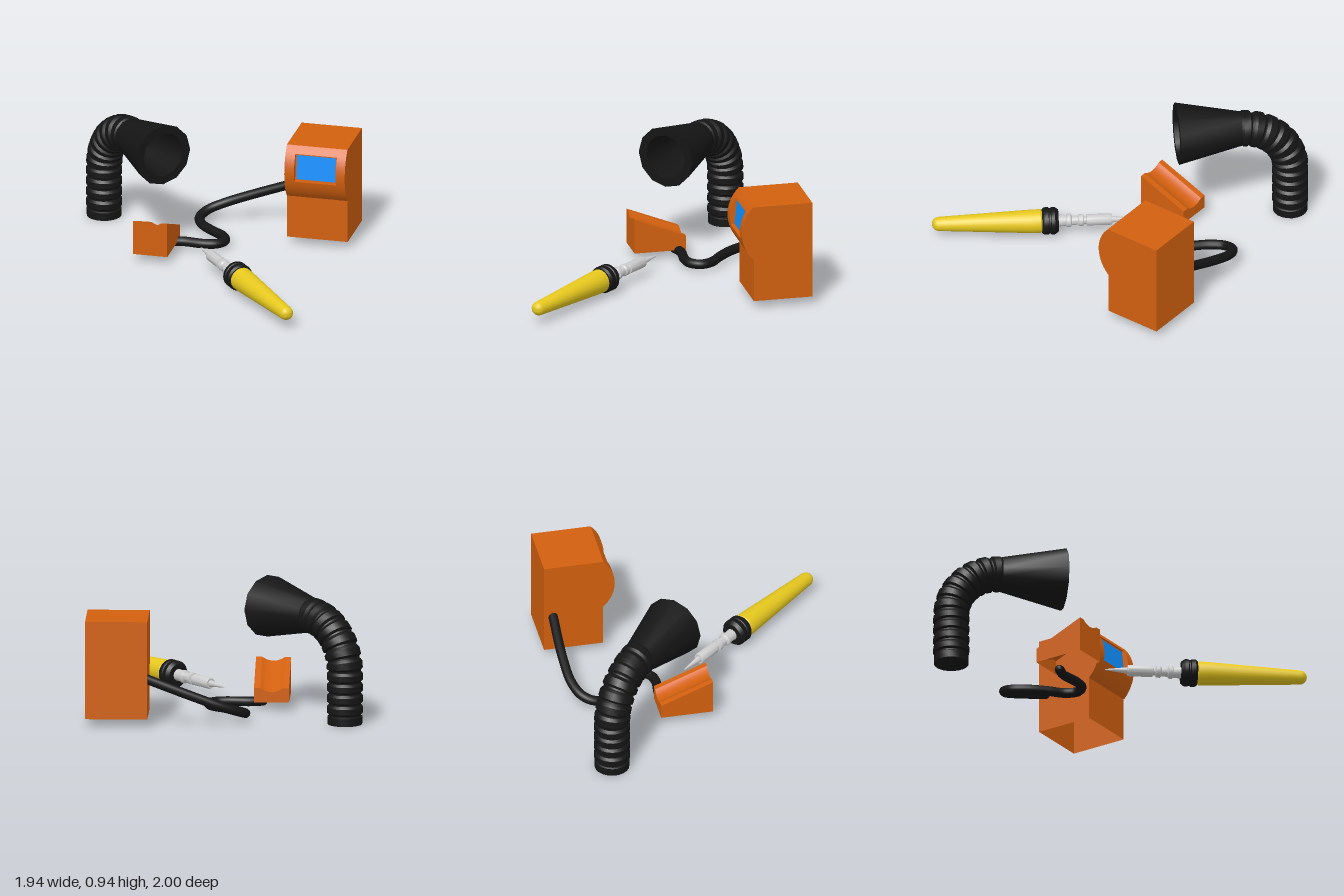
import * as THREE from 'three';
import { mergeGeometries, toCreasedNormals } from 'three/addons/utils/BufferGeometryUtils.js';

const paint = (color) => new THREE.MeshStandardMaterial({ color, side: THREE.DoubleSide });
const orange = paint(0xd2600f), black = paint(0x151515), yellow = paint(0xe6c81e);
const blue = paint(0x1090ff), metal = paint(0xcccccc);

function part(name, geometry, material, crease = 0.5) {
  const mesh = new THREE.Mesh(toCreasedNormals(geometry, crease), material);
  mesh.name = name;
  return mesh;
}

// Strip of quads between two rows of [x, y, z] points
function loft(a, b) {
  const pos = [];
  for (let i = 0; i < a.length - 1; i++) {
    pos.push(...a[i], ...b[i], ...a[i + 1], ...a[i + 1], ...b[i], ...b[i + 1]);
  }
  const g = new THREE.BufferGeometry();
  g.setAttribute('position', new THREE.Float32BufferAttribute(pos, 3));
  g.computeVertexNormals();
  return g;
}

// Lathe from [radius, distance along axis] pairs
const turned = (profile, sides) =>
  new THREE.LatheGeometry(profile.map(([r, s]) => new THREE.Vector2(r, s)), sides);

// Control unit: open-bottomed shell with a bulging front and a recessed display
function controlUnit() {
  const group = new THREE.Group();
  group.name = 'controlUnit';
  const [x0, x1, x2, x3] = [0.53, 0.6, 0.9, 0.965];
  const bulge = (y) => -0.765 + Math.sqrt(0.0729 - (y - 0.5575) ** 2);
  const recess = (y) => -0.53 - (y - 0.505) * 0.105;
  const span = (from, to, n) =>
    Array.from({ length: n + 1 }, (_, i) => from + ((to - from) * i) / n).map((y) => [y, bulge(y)]);
  const low = span(0.365, 0.505, 6), mid = span(0.505, 0.7, 8), high = span(0.7, 0.75, 3);
  const sunk = mid.map(([y]) => [y, recess(y)]);
  const wrap = (middle) => [[0.055, -0.58], [0.365, -0.58], ...low, ...middle, ...high,
    [0.75, -1], [0.055, -1]];
  const at = (rows, x) => rows.map(([y, z]) => [x, y, z]);
  const skin = (rows, a, b) => loft(at(rows, a), at(rows, b));
  const cap = (x) => loft(at(wrap(mid), x), at(wrap(mid).map(([y]) => [y, -1]), x));
  group.add(part('housing', mergeGeometries([
    skin(wrap(mid), x0, x1), skin(wrap(sunk), x1, x2), skin(wrap(mid), x2, x3),
    cap(x0), cap(x3),
    ...[x1, x2].map((x) => loft(at(mid, x), at(sunk, x))),
  ]), orange));
  const screen = [0.515, 0.69].map((y) => [y, recess(y) + 0.005]);
  group.add(part('display', skin(screen, 0.61, 0.89), blue));
  return group;
}

// Rest block: sloping, scooped top and open bottom
function restBlock() {
  const outline = [[-0.435, 0.055], [-0.435, 0.305]];
  for (let i = 0; i <= 12; i++) {
    const t = i / 6 - 1;
    outline.push([-0.3125 + t * 0.08, 0.305 - 0.027 * (1 - t * t)]);
  }
  outline.push([-0.19, 0.305], [-0.19, 0.055]);
  const row = (z, drop) => outline.map(([x, y]) => [x, Math.max(0.055, y - drop), z]);
  const front = row(0, 0), back = row(-0.37, 0.148);
  return part('restBlock', mergeGeometries([
    loft(front, back), loft(front, row(0, 1)), loft(back, row(-0.37, 1)),
  ]), orange);
}

// Fume extractor: ribbed hose rising, then bending level into a flared hood
function fumeExtractor() {
  const group = new THREE.Group();
  group.name = 'fumeExtractor';
  const rise = 0.37, R = 0.35, length = rise + (R * Math.PI) / 2;
  const profile = [[0, 0], [0.122, 0], [0.122, 0.055]];
  const ribs = 11, pitch = (length - 0.055) / ribs;
  for (let i = 0; i < ribs; i++) {
    const s = 0.055 + i * pitch;
    profile.push([0.112, s + pitch * 0.08], [0.112, s + pitch * 0.2], [0.127, s + pitch * 0.35],
      [0.127, s + pitch * 0.85], [0.118, s + pitch]);
  }
  const hose = turned(profile, 20);
  const p = hose.attributes.position;
  for (let i = 0; i < p.count; i++) {
    const a = Math.max(0, p.getY(i) - rise) / R;
    if (a > 0) {
      const r = R - p.getZ(i);
      p.setXYZ(i, p.getX(i), rise + r * Math.sin(a), R - r * Math.cos(a));
    }
  }
  group.add(part('hose', hose, black));
  const hood = turned([[0.122, 0], [0.22, 0.45], [0.16, 0.45], [0.115, 0.02], [0, 0.02]], 12);
  hood.rotateX(Math.PI / 2).translate(0, rise + R, R);
  group.add(part('hood', hood, black, 0.6));
  group.rotation.y = Math.PI / 4;
  group.position.set(-0.845, 0, -0.81);
  return group;
}

// Soldering iron lying on its side
function iron() {
  const group = new THREE.Group();
  group.name = 'iron';
  const add = (name, profile, material) =>
    group.add(part(name, turned(profile, 24).rotateX(Math.PI / 2), material));
  add('tip', [[0, 0], [0.004, 0.005], [0.024, 0.165]], metal);
  add('barrel', [[0, 0.16], [0.036, 0.16], [0.04, 0.17], [0.04, 0.335], [0.028, 0.34],
    [0.028, 0.355], [0.042, 0.36], [0.042, 0.39], [0.033, 0.4], [0.033, 0.44],
    [0.046, 0.45], [0.046, 0.475], [0.038, 0.48], [0.043, 0.55]], metal);
  add('collar', [[0, 0.535], [0.078, 0.535], [0.096, 0.56], [0.096, 0.585], [0.09, 0.59],
    [0.09, 0.6], [0.096, 0.605], [0.096, 0.635], [0.085, 0.65], [0, 0.65]], black);
  const handle = [[0.07, 0.645], [0.084, 0.66], [0.083, 0.72]];
  for (let i = 0; i <= 8; i++) {
    const a = (i / 8) * Math.PI / 2;
    handle.push([0.05 * Math.cos(a), 1.37 + 0.05 * Math.sin(a)]);
  }
  add('handle', handle, yellow);
  group.rotation.y = 0.692;
  group.position.set(0.025, 0.107, -0.105);
  return group;
}

// Cord from the rest block to the control unit
function cord() {
  const path = new THREE.CatmullRomCurve3([
    [-0.25, 0.052, -0.3], [-0.16, 0.052, -0.325], [0, 0.052, -0.315], [0.08, 0.052, -0.335],
    [0.125, 0.052, -0.4], [0.095, 0.052, -0.485], [0, 0.052, -0.565], [-0.1, 0.052, -0.665],
    [-0.148, 0.06, -0.77], [-0.11, 0.088, -0.86], [0, 0.13, -0.915], [0.2, 0.205, -0.937],
    [0.56, 0.34, -0.935],
  ].map((v) => new THREE.Vector3(...v)));
  const ball = new THREE.SphereGeometry(0.033, 12, 8).translate(-0.25, 0.052, -0.3);
  return part('cord', mergeGeometries([new THREE.TubeGeometry(path, 120, 0.034, 12), ball]), black, 0.8);
}

export function createModel() {
  const model = new THREE.Group();
  model.name = 'solderingStation';
  model.add(controlUnit(), restBlock(), fumeExtractor(), iron(), cord());
  return model;
}
